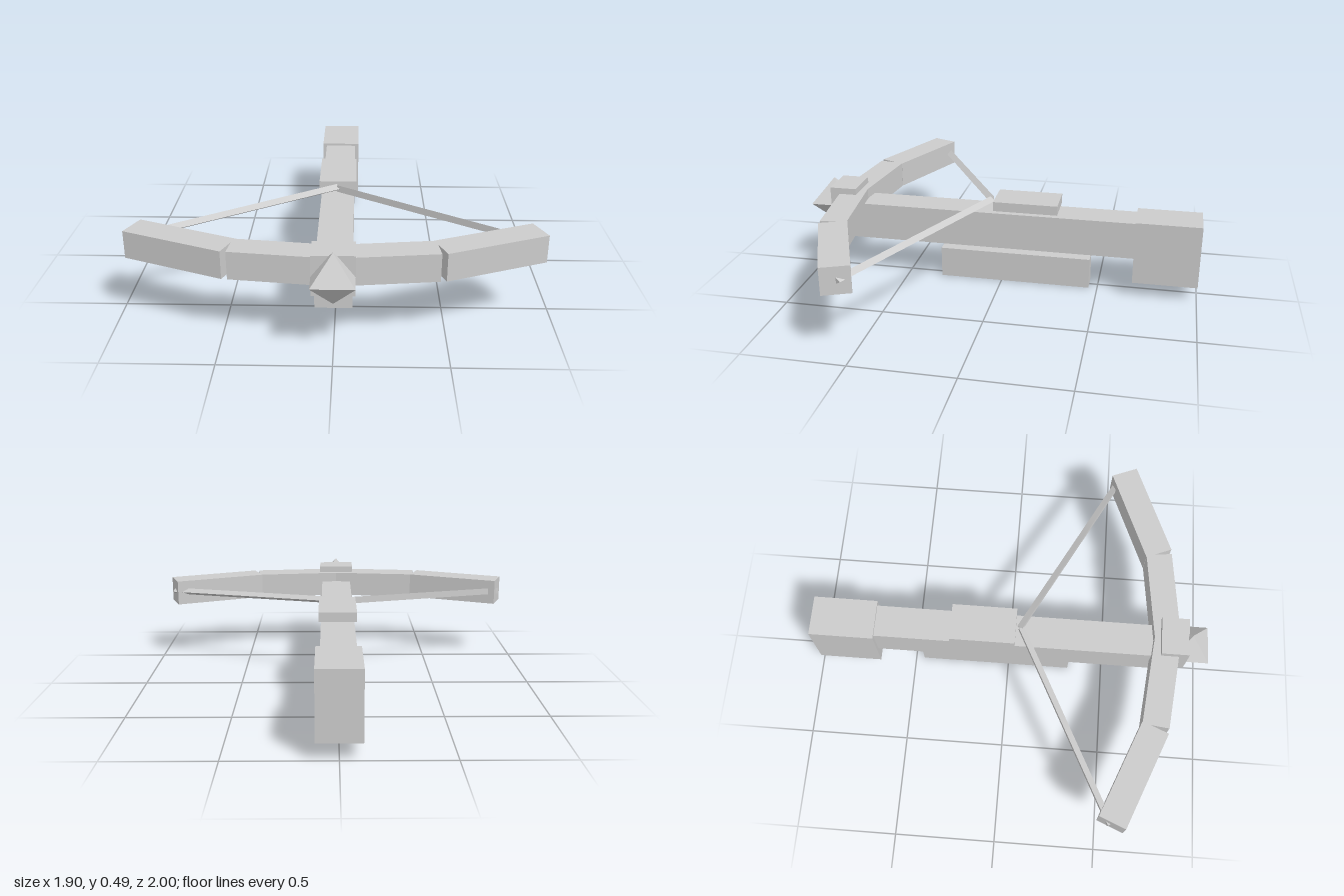
import * as THREE from 'three';

export function createModel() {
  const model = new THREE.Group();
  model.name = 'crossbow';
  const grey = new THREE.MeshStandardMaterial({ color: 0xcccccc });
  grey.name = 'plain grey';

  const add = (name, geometry) => {
    const mesh = new THREE.Mesh(geometry, grey);
    mesh.name = name;
    model.add(mesh);
    return mesh;
  };
  // Box given by its half width in x and its ranges in y and z
  const block = (name, hx, y0, y1, z0, z1) =>
    add(name, new THREE.BoxGeometry(hx * 2, y1 - y0, z1 - z0))
      .position.set(0, (y0 + y1) / 2, (z0 + z1) / 2);
  const faceted = (geometry) => {
    const flat = geometry.index ? geometry.toNonIndexed() : geometry;
    flat.computeVertexNormals();
    return flat;
  };

  // Body
  block('stock', 0.082, 0.2, 0.388, -0.7, 0.853);
  block('butt', 0.102, 0.077, 0.4, -1, -0.677);
  block('triggerLever', 0.048, 0, 0.158, -0.456, 0.32);
  block('latchPlate', 0.093, 0.405, 0.453, -0.29, 0.035);
  block('noseBlock', 0.095, 0.28, 0.47, 0.755, 0.892);

  // Double pyramid tip with a square waist
  const tip = faceted(new THREE.OctahedronGeometry(1).rotateY(Math.PI / 4));
  const s = 0.095 * Math.SQRT2;
  tip.scale(s, 0.121, s);
  add('noseTip', faceted(tip)).position.set(0, 0.371, 0.905);

  // Bow limb segment between two points seen from above
  const limb = (name, x0, z0, x1, z1, width) => {
    const length = Math.hypot(x1 - x0, z1 - z0);
    const mesh = add(name, new THREE.BoxGeometry(length, 0.133, width));
    mesh.position.set((x0 + x1) / 2, 0.372, (z0 + z1) / 2);
    mesh.rotation.y = -Math.atan2(z1 - z0, x1 - x0);
  };

  for (const side of [1, -1]) {
    const label = side > 0 ? 'left' : 'right';
    limb(label + 'InnerLimb', 0, 0.79, side * 0.453, 0.738, 0.13);
    limb(label + 'OuterLimb', side * 0.46, 0.737, side * 0.924, 0.5475, 0.137);

    // Three-sided string, its ridge pointing to the model's left
    const a = new THREE.Vector3(0, 0.428, 0.058);
    const b = new THREE.Vector3(side * 0.926, 0.372, 0.54);
    const along = b.clone().sub(a);
    const length = along.length();
    along.normalize();
    const ridge = new THREE.Vector3(along.z, 0, -along.x).normalize();
    const across = along.clone().cross(ridge);
    const string = add(label + 'String', faceted(new THREE.CylinderGeometry(0.02, 0.02, length, 3)));
    string.quaternion.setFromRotationMatrix(new THREE.Matrix4().makeBasis(across, along, ridge));
    string.position.copy(a).add(b).multiplyScalar(0.5);
  }
  return model;
}
